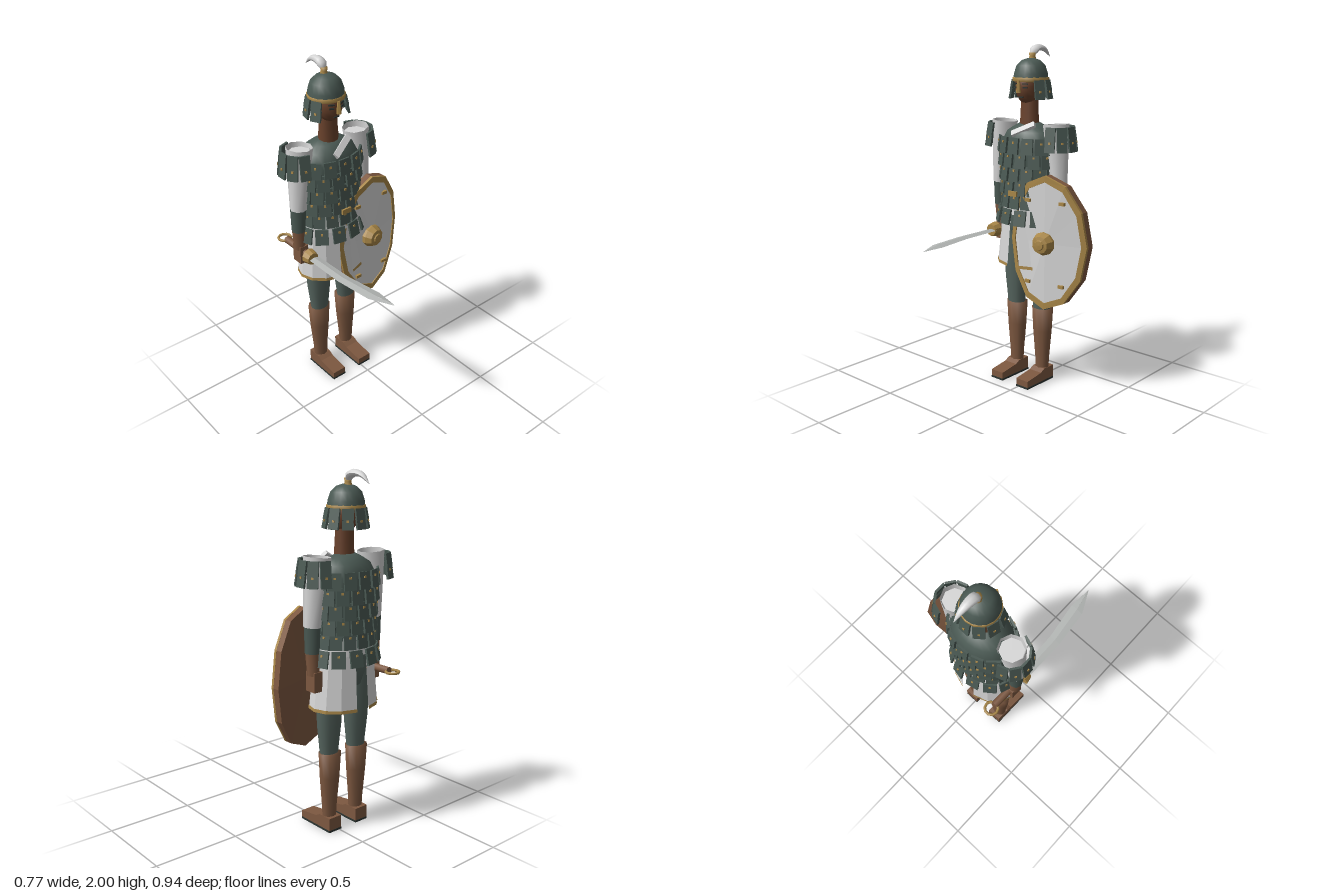
import * as THREE from 'three';

const mat = (name, color, double = false) => {
  const m = new THREE.MeshStandardMaterial({ color });
  m.name = name;
  if (double) m.side = THREE.DoubleSide;
  return m;
};

export function createModel() {
  const root = new THREE.Group();
  root.name = 'warrior';
  const armour = mat('armour green grey', 0x4a5953);
  const cloth = mat('trouser grey', 0x55645e);
  const white = mat('white cloth', 0xd6d6d6, true);
  const gold = mat('brass', 0xa98748, true);
  const leather = mat('leather', 0x7d5840);
  const skin = mat('skin', 0x6a422c);
  const steel = mat('steel', 0xb2b5b3);
  const dark = mat('dark', 0x2c3431);

  const body = new THREE.Group();
  body.name = 'body';
  body.position.set(-0.07, 0, -0.255);
  root.add(body);

  const add = (name, geo, material, x = 0, y = 0, z = 0, parent = body) => {
    const m = new THREE.Mesh(geo, material);
    m.name = name;
    m.position.set(x, y, z);
    parent.add(m);
    return m;
  };
  const box = (w, h, d) => new THREE.BoxGeometry(w, h, d);
  const flat = (g) => {
    const f = g.index ? g.toNonIndexed() : g;
    f.computeVertexNormals();
    return f;
  };
  const lathe = (pts, seg, zScale = 1, start = 0, len = Math.PI * 2) =>
    new THREE.LatheGeometry(pts.map(([r, y]) => new THREE.Vector2(r, y)), seg, start, len).scale(1, 1, zScale);
  const limb = (name, material, a, b, ra, rb, open = false, seg = 8) => {
    const p = new THREE.Vector3(...a), q = new THREE.Vector3(...b);
    const m = add(name, new THREE.CylinderGeometry(rb, ra, p.distanceTo(q), seg, 1, open), material);
    m.position.copy(p).lerp(q, 0.5);
    m.quaternion.setFromUnitVectors(new THREE.Vector3(0, 1, 0), q.sub(p).normalize());
    return m;
  };

  // Hanging armour plates with a stud, placed on an ellipse; angle 0 faces front
  const plateRow = (name, angles, { cx = 0, rx, rz, y, w, h, flare, stud = true }) => {
    const g = new THREE.Group();
    g.name = name;
    body.add(g);
    for (const a of angles) {
      const p = new THREE.Group();
      p.name = 'plate';
      p.position.set(cx + rx * Math.sin(a), y, rz * Math.cos(a));
      p.rotation.order = 'YXZ';
      p.rotation.y = Math.atan2(Math.sin(a) / rx, Math.cos(a) / rz);
      p.rotation.x = -flare;
      g.add(p);
      add('plateLeaf', box(w, h, 0.012), armour, 0, -h / 2, 0, p);
      if (stud) add('plateStud', box(0.012, 0.012, 0.008), gold, 0, -h * 0.3, 0.007, p);
    }
  };
  const around = (n, offset = 0) => Array.from({ length: n }, (_, i) => ((i + offset) / n) * Math.PI * 2);

  // Torso with overlapping rows of plates
  add('torso', lathe([[0.155, 1.05], [0.165, 1.2], [0.185, 1.36], [0.182, 1.45], [0.15, 1.51], [0.1, 1.54], [0.06, 1.56], [0, 1.56]], 20, 0.75), armour);
  for (let i = 0; i < 5; i++) {
    plateRow('chestPlates', around(14, i % 2 ? 0.5 : 0), {
      rx: 0.196 - i * 0.006, rz: 0.142 - i * 0.002, y: 1.48 - i * 0.08, w: 0.068, h: 0.092, flare: 0.12,
    });
  }
  const scarf = add('scarf', box(0.15, 0.035, 0.02), white, 0.025, 1.527, 0.095);
  scarf.rotation.set(-0.7, 0, 0.55);
  add('buckle', box(0.06, 0.03, 0.012), gold, 0, 1.16, 0.156);

  // Waistband, split skirt and brass hem
  add('waistband', lathe([[0.18, 1.03], [0.165, 1.13]], 16, 0.76), white);
  const gap = 0.2;
  for (const start of [gap, Math.PI + gap]) {
    const len = Math.PI - 2 * gap;
    add('skirtPanel', flat(lathe([[0.212, 0.735], [0.2, 0.85], [0.178, 1.06]], 6, 0.74, start, len)), white);
    add('skirtHem', flat(lathe([[0.216, 0.722], [0.214, 0.74]], 6, 0.745, start, len)), gold);
  }
  plateRow('hipPlates', around(12, 0.5).map((a) => a), {
    rx: 0.195, rz: 0.15, y: 1.065, w: 0.075, h: 0.092, flare: 0.2,
  });
  add('hips', lathe([[0, 0.82], [0.11, 0.84], [0.15, 0.95], [0.15, 1.05]], 14, 0.7), cloth);

  // Legs, boots, feet
  const footShape = new THREE.Shape();
  [[-0.055, 0.012], [0.185, 0.012], [0.185, 0.05], [0.06, 0.068], [0.03, 0.085], [-0.055, 0.085]]
    .forEach(([z, y], i) => (i ? footShape.lineTo(z, y) : footShape.moveTo(z, y)));
  for (const s of [-1, 1]) {
    const x = s * 0.1;
    add('trouserLeg', lathe([[0.055, 0.44], [0.06, 0.5], [0.073, 0.62], [0.08, 0.75], [0.085, 0.92]], 12, 0.8), cloth, x, 0, 0.005);
    add('boot', lathe([[0.042, 0.05], [0.047, 0.15], [0.062, 0.32], [0.07, 0.46], [0, 0.465]], 10, 0.83), leather, x, 0, -0.002);
    const foot = new THREE.ExtrudeGeometry(footShape, { depth: 0.088, bevelEnabled: false });
    foot.rotateY(-Math.PI / 2).translate(0.044, 0, 0);
    add('foot', foot, leather, x);
    add('sole', box(0.09, 0.012, 0.242), dark, x, 0.006, 0.065);

    // Arms
    limb('sleeve', white, [s * 0.222, 1.19, 0.01], [s * 0.192, 1.56, 0.005], 0.047, 0.075, true);
    add('shoulderCap', new THREE.CircleGeometry(0.066, 8).rotateX(-Math.PI / 2), white, s * 0.193, 1.53, 0.005);
    limb('bracer', armour, [s * 0.225, 1.05, 0.005], [s * 0.222, 1.2, 0.008], 0.039, 0.045);
    limb('forearm', leather, [s * 0.22, 0.93, 0], [s * 0.225, 1.06, 0.005], 0.033, 0.038);
    add('hand', box(0.055, 0.11, 0.07), leather, s * 0.213, 0.895, 0);
    const fan = [-1.25, -0.62, 0, 0.62, 1.25].map((a) => (s * Math.PI) / 2 + a);
    for (const [y, r] of [[1.55, 0.096], [1.485, 0.104]]) {
      plateRow('shoulderPlates', fan, { cx: s * 0.192, rx: r, rz: r, y, w: 0.058, h: 0.075, flare: 0.16, stud: y < 1.5 });
    }
  }

  // Neck and head
  add('neck', lathe([[0.06, 1.54], [0.055, 1.62], [0.052, 1.74]], 12, 0.85), skin, 0, 0, 0.01);
  add('head', new THREE.SphereGeometry(1, 14, 12).scale(0.075, 0.105, 0.082), skin, 0, 1.765, 0.018);
  add('mouth', box(0.032, 0.007, 0.008), dark, 0, 1.705, 0.085);
  for (const s of [-1, 1]) {
    add('eye', box(0.026, 0.009, 0.008), dark, s * 0.034, 1.76, 0.09).rotation.y = s * 0.45;
    add('brow', box(0.034, 0.007, 0.008), dark, s * 0.034, 1.78, 0.09).rotation.y = s * 0.45;
  }
  add('noseGuard', flat(new THREE.CylinderGeometry(0.008, 0.015, 0.07, 5)), gold, 0, 1.765, 0.108);

  // Helmet, neck guard, finial and plume
  add('helmet', lathe([[0.101, 1.8], [0.098, 1.835], [0.083, 1.88], [0.056, 1.907], [0.02, 1.92], [0, 1.92]], 18), armour);
  add('helmetBand', lathe([[0.098, 1.79], [0.105, 1.793], [0.105, 1.812], [0.098, 1.816]], 14), gold);
  const guard = Array.from({ length: 7 }, (_, i) => Math.PI + (i - 3) * 0.66);
  for (const [y, r] of [[1.8, 0.1], [1.752, 0.107]]) {
    plateRow('neckGuard', guard, { rx: r, rz: r, y, w: 0.06, h: 0.06, flare: 0.2, stud: y < 1.78 });
  }
  add('finial', lathe([[0.024, 1.91], [0.017, 1.93], [0.021, 1.95], [0, 1.952]], 8), gold, 0, 0, -0.012);
  const curve = new THREE.CatmullRomCurve3(
    [[0, 1.935, -0.012], [0, 1.967, -0.03], [0, 1.978, -0.07], [0, 1.966, -0.12], [0, 1.925, -0.17]].map((p) => new THREE.Vector3(...p)));
  const plume = new THREE.TubeGeometry(curve, 12, 1, 8);
  const pos = plume.attributes.position, v = new THREE.Vector3();
  for (let i = 0; i < pos.count; i++) {
    const t = Math.floor(i / 9) / 12, c = curve.getPointAt(t);
    const r = 0.03 * Math.min(1, 0.5 + 3 * t) * (1 - t * t * 0.98);
    v.fromBufferAttribute(pos, i).sub(c).multiplyScalar(r);
    pos.setXYZ(i, c.x + v.x, c.y + v.y * 0.75, c.z + v.z * 0.75);
  }
  plume.computeVertexNormals();
  add('plume', plume, white);

  // Curved shield: wooden back, cloth face, brass rim
  const shield = new THREE.Group();
  shield.name = 'shield';
  shield.position.set(0.143, 0.895, -0.125);
  root.add(shield);
  const dz = (x) => -0.67 * x * x - 0.143 * x;
  const bend = (g) => {
    const p = g.attributes.position;
    for (let i = 0; i < p.count; i++) p.setZ(i, p.getZ(i) + dz(p.getX(i)));
    return flat(g);
  };
  const disc = (rx, ry, d, z) =>
    bend(new THREE.CylinderGeometry(1, 1, d, 12).rotateX(Math.PI / 2).scale(rx, ry, 1).translate(0, 0, z));
  add('shieldBack', disc(0.245, 0.39, 0.042, -0.036), leather, 0, 0, 0, shield);
  add('shieldFace', disc(0.219, 0.357, 0.009, -0.0105), white, 0, 0, 0, shield);
  const oval = (P, rx, ry) => new P(Array.from({ length: 12 }, (_, i) =>
    new THREE.Vector2(rx * Math.sin((i * Math.PI) / 6), ry * Math.cos((i * Math.PI) / 6))));
  const rim = oval(THREE.Shape, 0.246, 0.391);
  rim.holes.push(oval(THREE.Path, 0.217, 0.354));
  add('shieldRim', bend(new THREE.ExtrudeGeometry(rim, { depth: 0.016, bevelEnabled: false }).translate(0, 0, -0.016)), gold, 0, 0, 0, shield);
  const boss = flat(lathe([[0.068, -0.02], [0.068, 0.005], [0.05, 0.04], [0.03, 0.044], [0.026, 0.05], [0, 0.052]], 10));
  add('shieldBoss', boss.rotateX(Math.PI / 2), gold, -0.005, 0, 0, shield).rotation.y = 0.14;
  for (const x of [-0.115, 0.107]) {
    for (const y of [-0.24, 0.24]) add('shieldRivet', box(0.035, 0.018, 0.016), gold, x, y, dz(x) - 0.002, shield);
  }

  // Sword: blade of diamond cross-sections, guard, grip and ring pommel
  const sword = new THREE.Group();
  sword.name = 'sword';
  sword.position.set(0, 0.905, 0);
  root.add(sword);
  const cuts = [[-0.305, -0.243, -0.15], [-0.305, -0.235, 0.11], [-0.28, -0.2, 0.335], [-0.212, -0.209, 0.47]];
  const verts = [], tris = [];
  cuts.forEach(([a, b, z], k) => {
    const m = (a + b) / 2, t = k === 3 ? 0.001 : 0.008;
    verts.push(a, 0, z, m, t, z, b, 0, z, m, -t, z);
    for (let j = 0; k < 3 && j < 4; j++) {
      const p = k * 4 + j, q = k * 4 + ((j + 1) % 4);
      tris.push(p, p + 4, q, q, p + 4, q + 4);
    }
  });
  const blade = new THREE.BufferGeometry();
  blade.setAttribute('position', new THREE.Float32BufferAttribute(verts, 3));
  blade.setIndex(tris);
  add('blade', flat(blade), steel, 0, 0, 0, sword);
  add('guard', flat(new THREE.CylinderGeometry(0.036, 0.046, 0.045, 10).rotateX(Math.PI / 2)), gold, -0.28, 0, -0.163, sword);
  add('grip', new THREE.CylinderGeometry(0.022, 0.022, 0.22, 8).rotateX(Math.PI / 2), leather, -0.275, 0, -0.29, sword);
  add('ringPommel', new THREE.TorusGeometry(0.037, 0.008, 6, 10).rotateX(Math.PI / 2), gold, -0.275, 0, -0.425, sword);

  return root;
}
